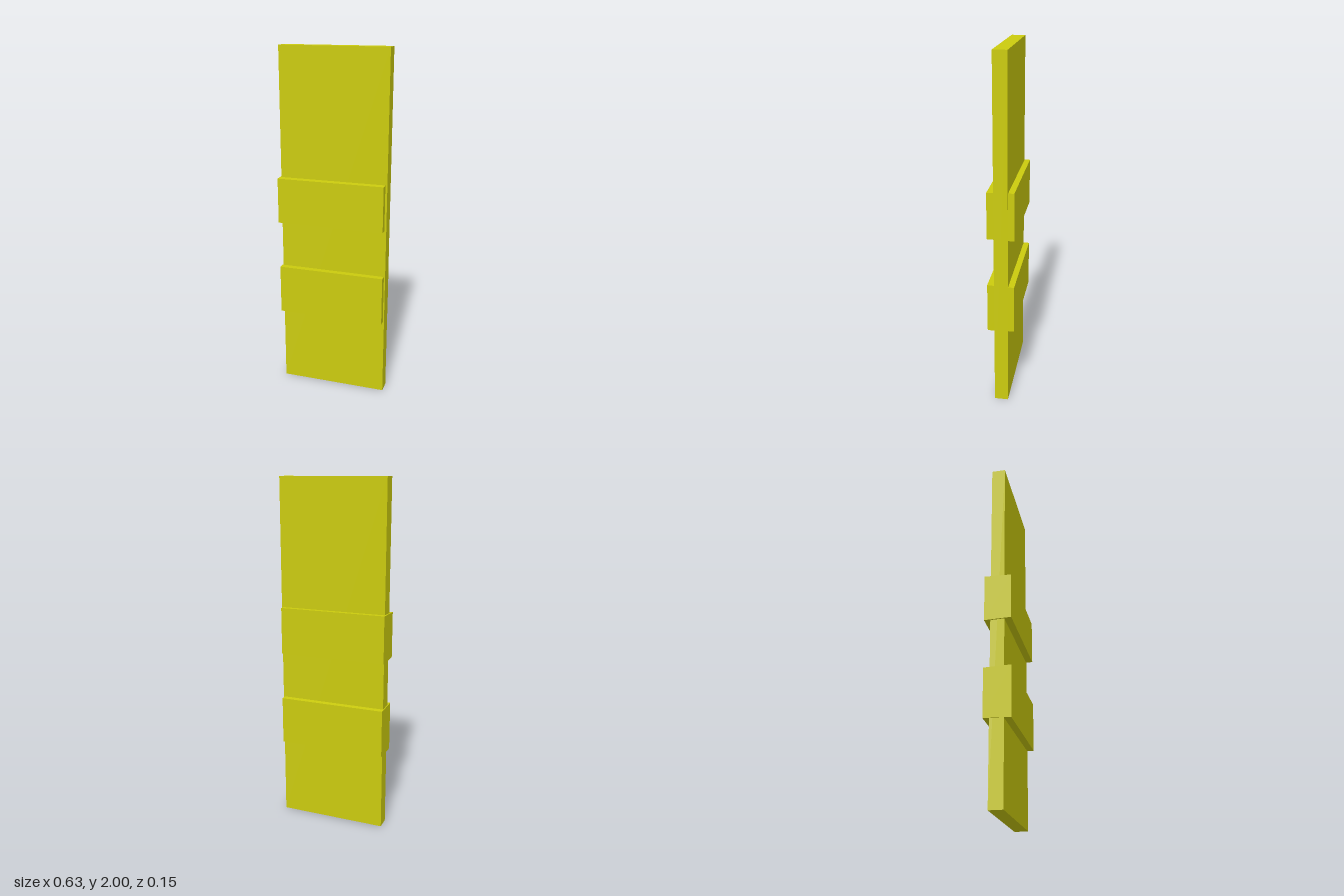
import * as THREE from 'three';

export function createModel() {
  const model = new THREE.Group();
  const yellow = new THREE.MeshStandardMaterial({ color: 0xcccc0e });
  yellow.name = 'yellow';

  // Box between two corners; taper raises the top and lowers the bottom at the back
  function addBox(name, [x0, y0, z0], [x1, y1, z1], taper = 0) {
    const geometry = new THREE.BoxGeometry(x1 - x0, y1 - y0, z1 - z0);
    const p = geometry.attributes.position;
    for (let i = 0; i < p.count; i++) {
      if (p.getZ(i) < 0) p.setY(i, p.getY(i) + Math.sign(p.getY(i)) * taper);
    }
    geometry.computeVertexNormals();
    const mesh = new THREE.Mesh(geometry, yellow);
    mesh.name = name;
    mesh.position.set((x0 + x1) / 2, (y0 + y1) / 2, (z0 + z1) / 2);
    model.add(mesh);
  }

  // Upright board
  addBox('board', [-0.307, 0, -0.042], [0.313, 2, 0.035]);

  // Crossbars running through the board, standing out front and back
  addBox('upperCrossbar', [-0.315, 1.009, -0.075], [0.302, 1.27, 0.074], 0.004);
  addBox('lowerCrossbar', [-0.312, 0.452, -0.075], [0.306, 0.736, 0.074], -0.005);

  return model;
}
